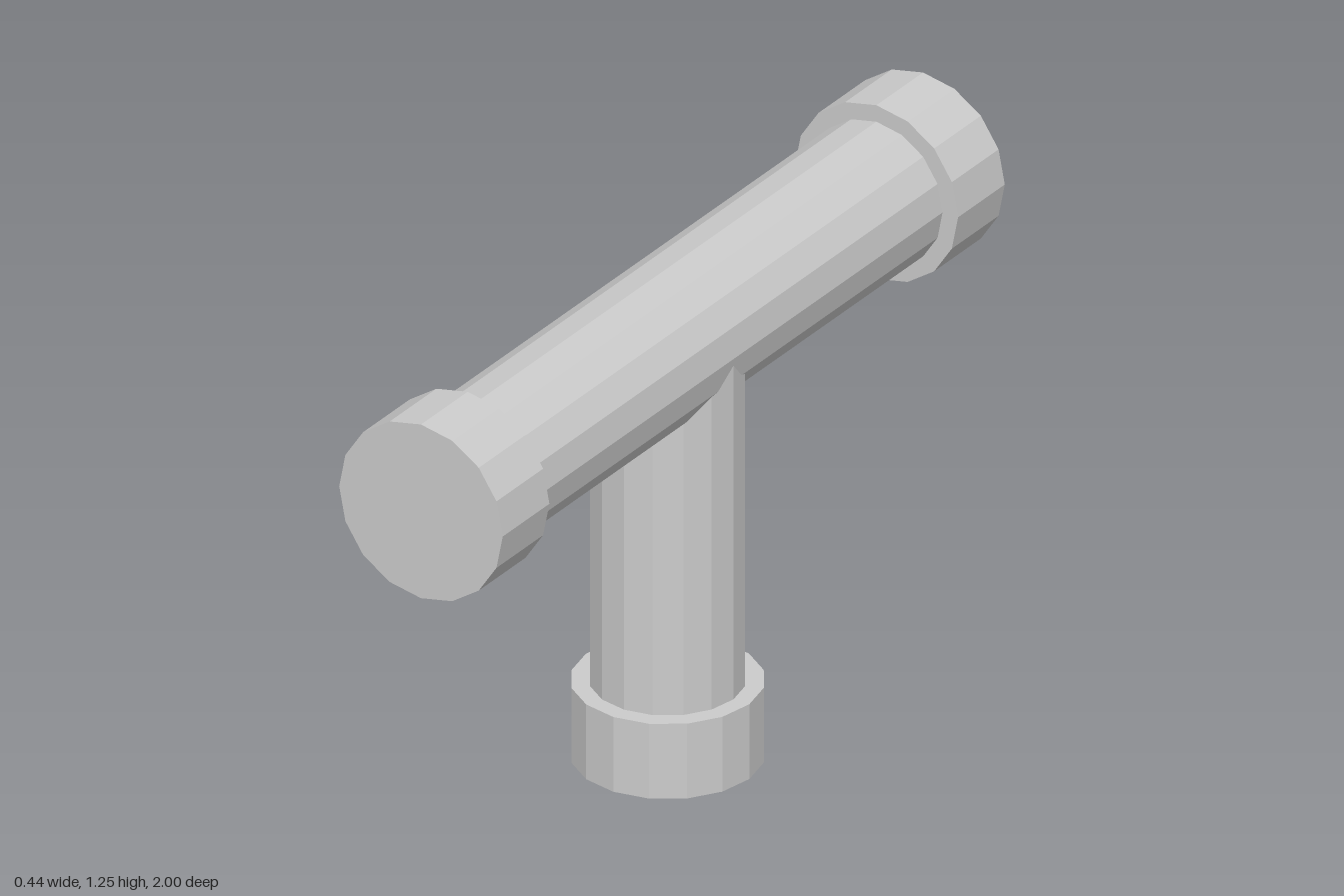
import * as THREE from 'three';

const SIDES = 16;
const PIPE_RADIUS = 0.175;
const CAP_RADIUS = 0.216;
const CAP_LENGTH = 0.186;
const AXIS_HEIGHT = 1.036;

export function createModel() {
  const model = new THREE.Group();
  model.name = 'pipeTee';
  const material = new THREE.MeshStandardMaterial({ color: 0xcccccc, flatShading: true });

  // Faceted cylinder standing along its parent's y axis, from y0 to y1
  const addSection = (parent, name, radius, y0, y1) => {
    const geometry = new THREE.CylinderGeometry(radius, radius, y1 - y0, SIDES);
    const mesh = new THREE.Mesh(geometry, material);
    mesh.name = name;
    mesh.position.y = (y0 + y1) / 2;
    parent.add(mesh);
  };

  // Straight run along z, with a collar at each end
  const run = new THREE.Group();
  run.name = 'run';
  run.position.y = AXIS_HEIGHT;
  run.rotation.x = Math.PI / 2;
  addSection(run, 'runPipe', PIPE_RADIUS, -1 + CAP_LENGTH, 1 - CAP_LENGTH);
  addSection(run, 'frontCollar', CAP_RADIUS, 1 - CAP_LENGTH, 1);
  addSection(run, 'backCollar', CAP_RADIUS, -1, -1 + CAP_LENGTH);
  model.add(run);

  // Upright branch, very slightly off centre, ending inside the run
  const branch = new THREE.Group();
  branch.name = 'branch';
  branch.position.set(-0.003, 0, 0.013);
  addSection(branch, 'branchPipe', PIPE_RADIUS - 0.001, CAP_LENGTH, AXIS_HEIGHT);
  addSection(branch, 'bottomCollar', CAP_RADIUS, 0, CAP_LENGTH);
  model.add(branch);

  return model;
}
